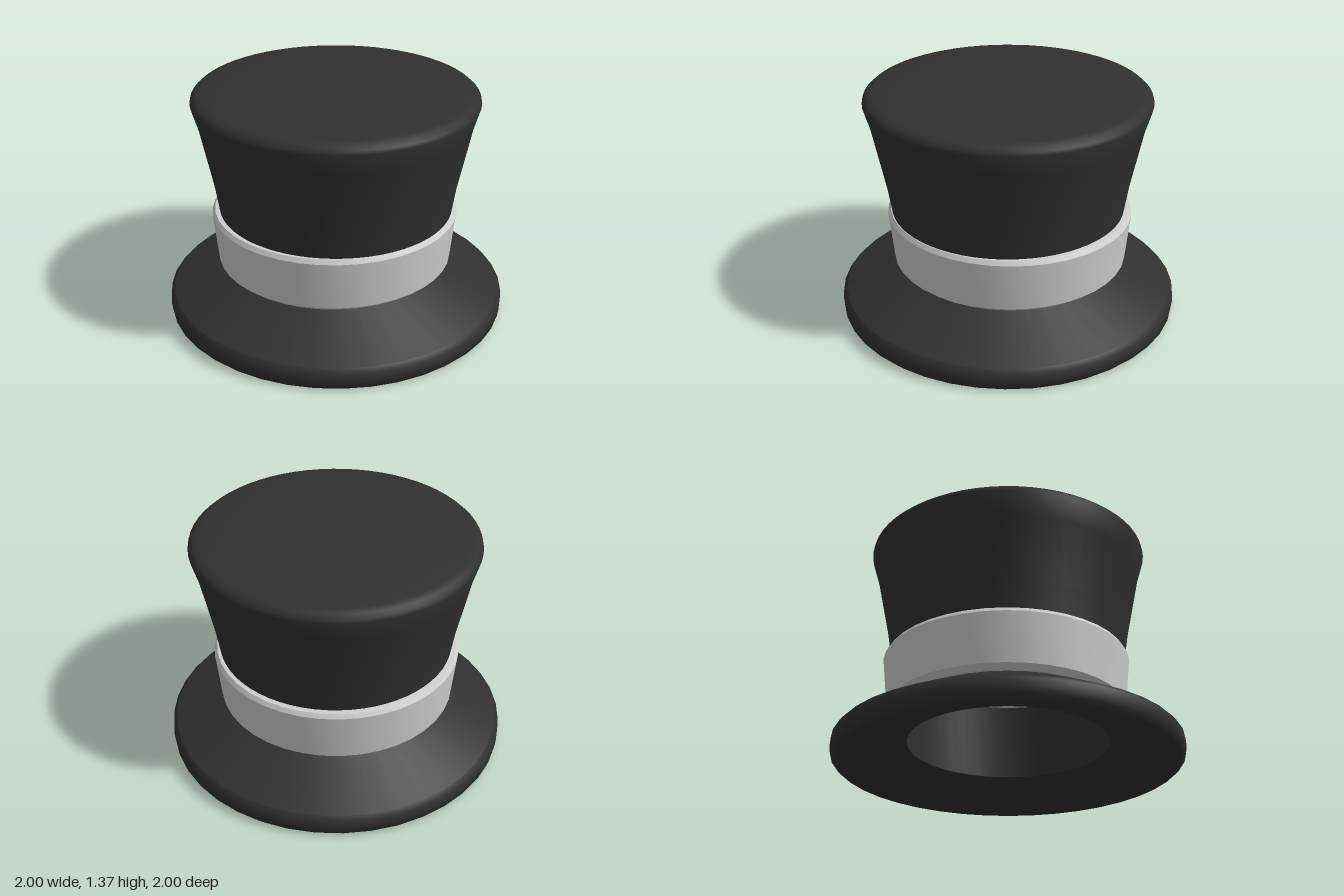
import * as THREE from 'three';
import { toCreasedNormals } from 'three/addons/utils/BufferGeometryUtils.js';

const felt = new THREE.MeshStandardMaterial({ color: 0x303030 });
felt.name = 'blackFelt';
const ribbon = new THREE.MeshStandardMaterial({ color: 0xcfcfcf });
ribbon.name = 'greyRibbon';

// Revolves a [radius, height] profile, keeping edges sharper than the crease angle
function turned(name, profile, sides, material, crease) {
  const points = profile.map(([r, y]) => new THREE.Vector2(r, y));
  const geometry = toCreasedNormals(new THREE.LatheGeometry(points, sides), crease);
  const mesh = new THREE.Mesh(geometry, material);
  mesh.name = name;
  return mesh;
}

export function createModel() {
  const hat = new THREE.Group();
  hat.name = 'topHat';

  // Brim: sloping top, rounded edge and a shallow hollowed underside
  const brim = new THREE.Group();
  brim.name = 'brim';
  brim.add(
    turned('brimTop', [[0.975, 0.13], [0.64, 0.3]], 40, felt, 0.6),
    turned('brimEdge', [[0.975, 0], [0.995, 0.02], [1, 0.06], [0.997, 0.105], [0.975, 0.13]], 40, felt, 1.2),
    turned('brimUnderside', [[0.575, 0.126], [0.975, 0]], 40, felt, 0.6),
  );
  hat.add(brim);

  // Hollow for the head, with its ceiling
  hat.add(turned('hollowWall', [[0.575, 0.586], [0.575, 0.126]], 40, felt, 0.6));
  const ceiling = new THREE.Mesh(new THREE.CircleGeometry(0.575, 40), ribbon);
  ceiling.name = 'hollowCeiling';
  ceiling.rotation.x = Math.PI / 2;
  ceiling.position.y = 0.586;
  hat.add(ceiling);

  // Flared crown with a rounded top edge
  hat.add(turned('crown', [
    [0.64, 0.3], [0.682, 0.63], [0.708, 0.8], [0.784, 1.17], [0.822, 1.3],
    [0.817, 1.322], [0.795, 1.342], [0.755, 1.352], [0.4, 1.364], [0, 1.37],
  ], 64, felt, 1.2));

  // Bevelled ribbon band, set slightly off centre
  const band = turned('band', [
    [0.62, 0.295], [0.655, 0.295], [0.687, 0.322], [0.716, 0.61], [0.7, 0.635], [0.66, 0.638],
  ], 40, ribbon, 0.4);
  band.position.x = -0.012;
  band.scale.z = 1.01;
  hat.add(band);

  return hat;
}
